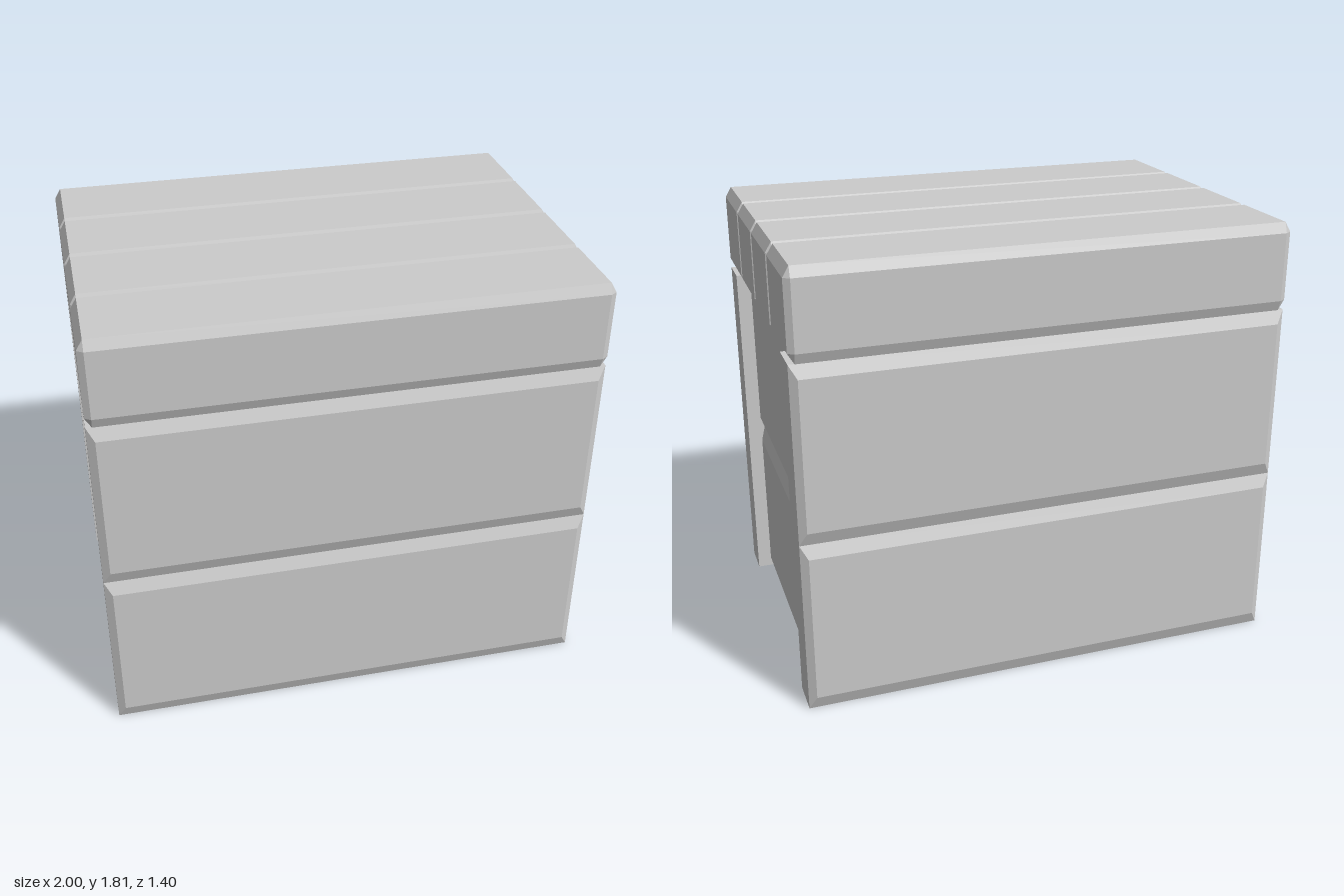
import * as THREE from 'three';
import { ConvexGeometry } from 'three/addons/geometries/ConvexGeometry.js';

const BODY_H = 1.445, TOP = 1.805, DEPTH = 0.7;

// box with all twelve edges chamfered, inset b along each axis
function chamferedBox(w, h, d, b) {
  const s = [w / 2, h / 2, d / 2], points = [];
  for (const sx of [-1, 1]) for (const sy of [-1, 1]) for (const sz of [-1, 1])
    for (let out = 0; out < 3; out++) {
      const c = [sx, sy, sz].map((sign, i) => sign * (s[i] - (i === out ? 0 : b[i])));
      points.push(new THREE.Vector3(...c));
    }
  return new ConvexGeometry(points);
}

// block whose +z face is a raised field with sloping borders
function raisedPanel(w, h, d, bx, by, bz) {
  const points = [];
  for (const sx of [-1, 1]) for (const sy of [-1, 1]) {
    const x = sx * w / 2, y = sy * h / 2;
    points.push(
      new THREE.Vector3(x, y, -d),
      new THREE.Vector3(x, y, -bz),
      new THREE.Vector3(x - sx * bx, y - sy * by, 0));
  }
  return new ConvexGeometry(points);
}

export function createModel() {
  const model = new THREE.Group();
  const grey = new THREE.MeshStandardMaterial({ color: 0xcccccc });
  grey.name = 'grey';

  const add = (name, geometry, x, y, z, turn = 0) => {
    const mesh = new THREE.Mesh(geometry, grey);
    mesh.name = name;
    mesh.position.set(x, y, z);
    mesh.rotation.y = turn;
    model.add(mesh);
  };

  // solid middle of the box
  add('core', new THREE.BoxGeometry(1.8, BODY_H, 1.06), 0, BODY_H / 2, 0);

  // two boards on every side; the end boards sit recessed between the others
  const rowH = BODY_H / 2;
  const longBoard = raisedPanel(2, rowH, 0.17, 0.03, 0.055, 0.02);
  const endBoard = raisedPanel(1.06, rowH, 0.06, 0.028, 0.055, 0.02);
  for (let row = 0; row < 2; row++) {
    const y = rowH * (row + 0.5);
    add('frontBoard', longBoard, 0, y, DEPTH);
    add('backBoard', longBoard, 0, y, -DEPTH, Math.PI);
    add('leftBoard', endBoard, 0.945, y, 0, Math.PI / 2);
    add('rightBoard', endBoard, -0.945, y, 0, -Math.PI / 2);
  }

  // four chamfered planks form the lid
  const plank = chamferedBox(2, TOP - BODY_H, 0.35, [0.025, 0.042, 0.016]);
  for (let i = 0; i < 4; i++)
    add('lidPlank', plank, 0, (TOP + BODY_H) / 2, (i - 1.5) * 0.35);

  return model;
}
